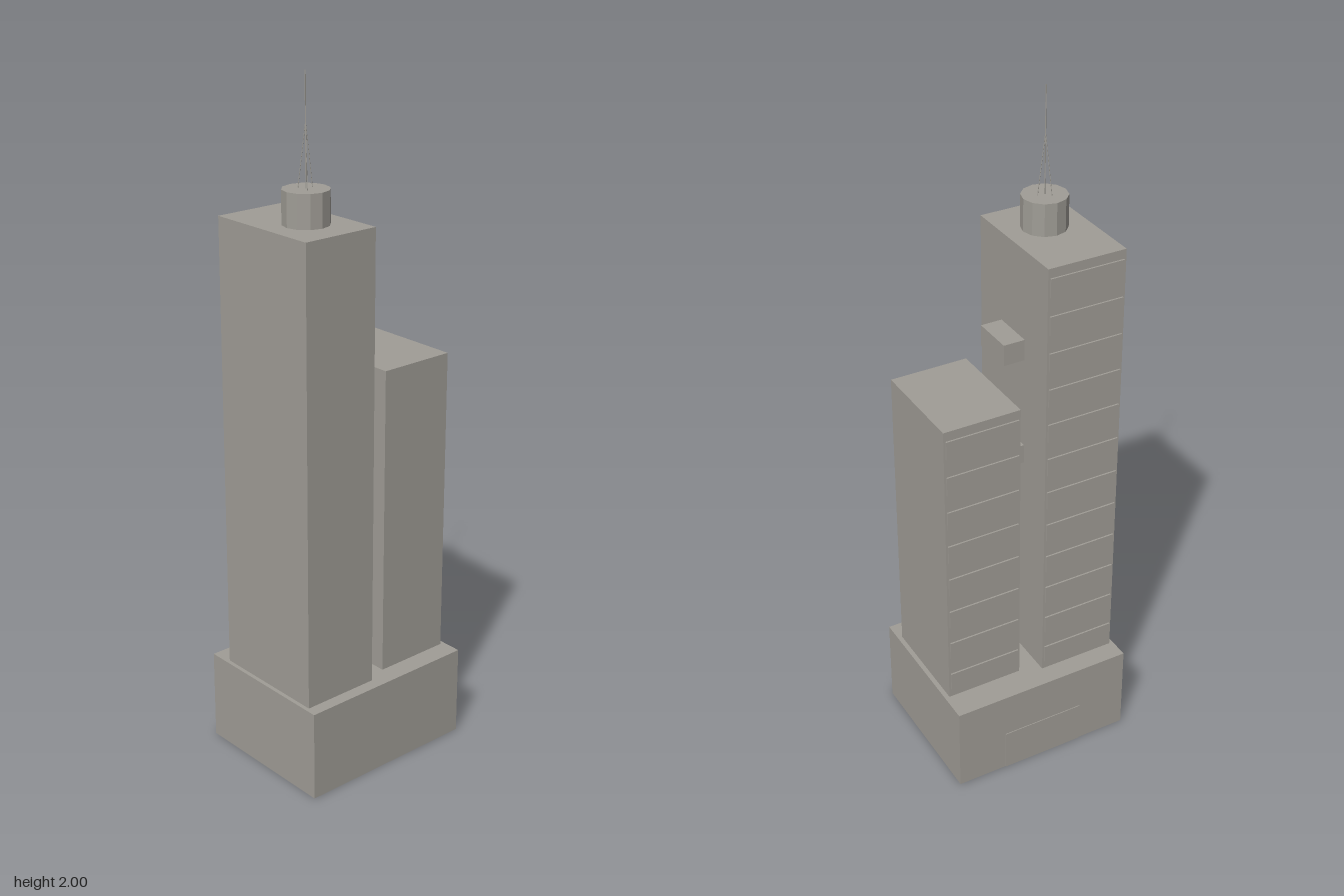
import * as THREE from 'three';

export function createModel() {
  const model = new THREE.Group();
  model.name = 'twinTowers';
  const concrete = new THREE.MeshStandardMaterial({ color: 0xa09d96, flatShading: true });
  concrete.name = 'warm grey concrete';

  // Box given by its extents on each axis
  function block(name, [x0, x1], [y0, y1], [z0, z1], parent = model) {
    const mesh = new THREE.Mesh(new THREE.BoxGeometry(x1 - x0, y1 - y0, z1 - z0), concrete);
    mesh.position.set((x0 + x1) / 2, (y0 + y1) / 2, (z0 + z1) / 2);
    mesh.name = name;
    parent.add(mesh);
  }

  // Thin rod between two points
  function rod(name, a, b, radius) {
    const dir = b.clone().sub(a);
    const mesh = new THREE.Mesh(new THREE.CylinderGeometry(radius, radius, dir.length(), 6), concrete);
    mesh.position.copy(a).add(b).multiplyScalar(0.5);
    mesh.quaternion.setFromUnitVectors(new THREE.Vector3(0, 1, 0), dir.normalize());
    mesh.name = name;
    model.add(mesh);
  }

  const baseTop = 0.27;

  // Tower with shallow floor bands across its back
  function tower(name, x, top, z, floors) {
    const group = new THREE.Group();
    group.name = name;
    model.add(group);
    block('shaft', x, [baseTop, top], z, group);
    const pitch = (top - baseTop) / floors;
    for (let i = 0; i < floors; i++) {
      const y = baseTop + pitch * (i + 0.25);
      block('floorBand', [x[0] + 0.006, x[1] - 0.006], [y, y + pitch * 0.5], [z[0] - 0.005, z[0]], group);
    }
  }

  // Podium with the rear entrance panel
  block('podium', [-0.28, 0.28], [0, baseTop], [-0.2285, 0.2285]);
  block('rearEntrance', [-0.127, 0.127], [0, 0.13], [-0.231, -0.2285]);

  tower('tallTower', [-0.268, -0.032], 1.603, [-0.167, 0.192], 12);
  tower('shortTower', [0.032, 0.266], 1.187, [-0.142, 0.167], 8);

  // Bridge between the towers and the stub above it
  block('skyBridge', [-0.032, 0.032], [0.942, 1.0], [-0.05, 0.077]);
  block('upperStub', [-0.032, 0.032], [1.275, 1.338], [-0.05, 0.077]);

  // Roof drum
  const cx = -0.148, cz = 0.051, drumTop = 1.697;
  const drum = new THREE.Mesh(new THREE.CylinderGeometry(0.065, 0.065, drumTop - 1.603, 12), concrete);
  drum.position.set(cx, (drumTop + 1.603) / 2, cz);
  drum.name = 'roofDrum';
  model.add(drum);

  // Antenna mast braced by three struts
  rod('mast', new THREE.Vector3(cx, drumTop, cz), new THREE.Vector3(cx, 2, cz), 0.0015);
  for (let i = 0; i < 3; i++) {
    const a = (i * Math.PI * 2) / 3;
    const foot = new THREE.Vector3(cx + 0.022 * Math.cos(a), drumTop, cz + 0.022 * Math.sin(a));
    rod('mastStrut', foot, new THREE.Vector3(cx, 1.87, cz), 0.001);
  }
  return model;
}
